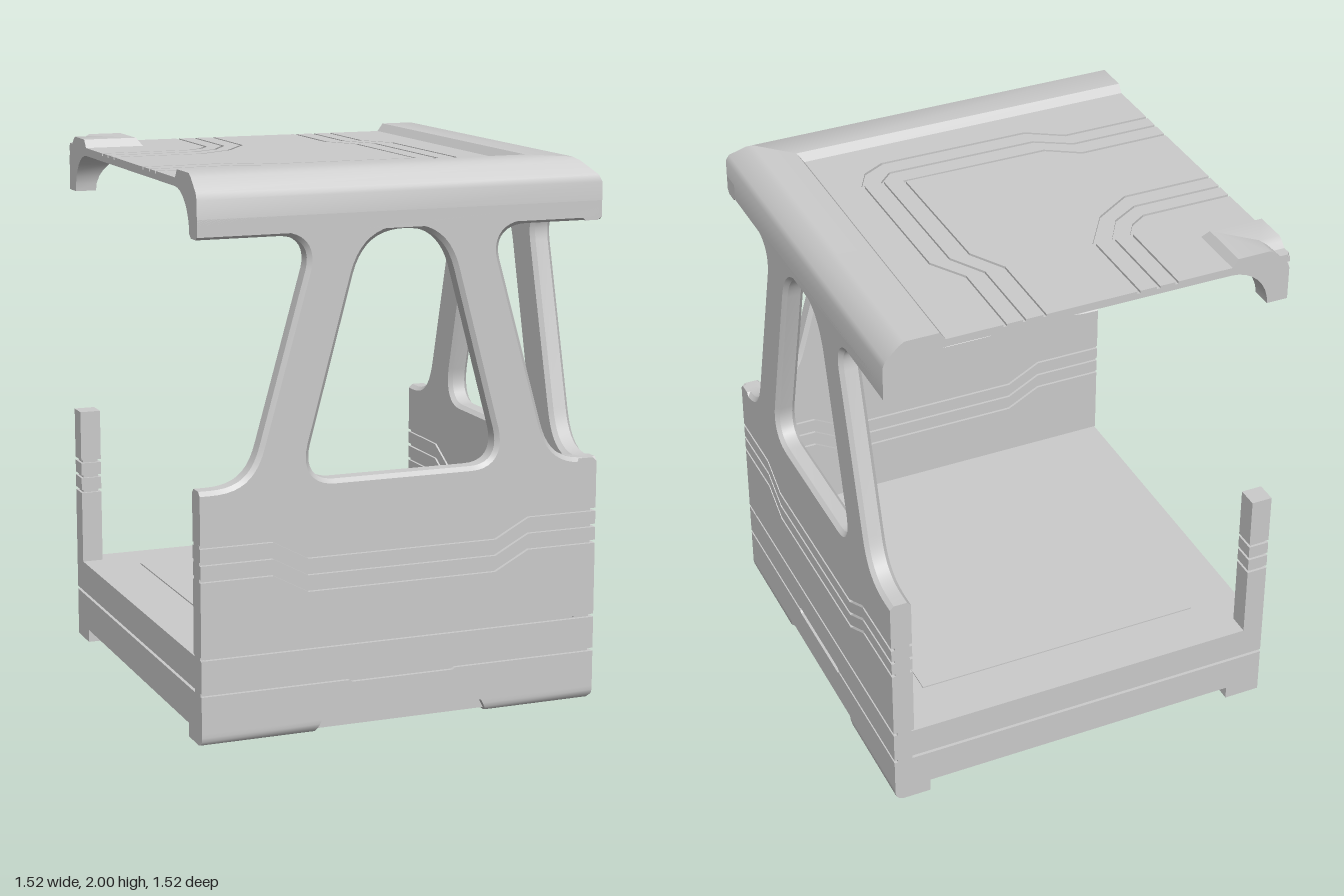
import * as THREE from 'three';
import { toCreasedNormals } from 'three/addons/utils/BufferGeometryUtils.js';

const H = 0.76;          // half width of the cell
const GAP = 0.006;       // half width of the panel grooves
const mat = new THREE.MeshStandardMaterial({ color: 0xcccccc, side: THREE.DoubleSide });

function mesh(name, geo, parent) {
  const m = new THREE.Mesh(geo, mat);
  m.name = name;
  parent.add(m);
  return m;
}

function box(name, parent, x0, x1, y0, y1, z0, z1) {
  const m = mesh(name, new THREE.BoxGeometry(x1 - x0, y1 - y0, z1 - z0), parent);
  m.position.set((x0 + x1) / 2, (y0 + y1) / 2, (z0 + z1) / 2);
  return m;
}

const polygon = (pts) => new THREE.Shape(pts.map((p) => new THREE.Vector2(p[0], p[1])));

// Shift a line sideways; a third value on a point scales the shift
function offset(line, d) {
  return line.map((p, i) => {
    const a = line[Math.max(i - 1, 0)], b = line[Math.min(i + 1, line.length - 1)];
    const dx = b[0] - a[0], dy = b[1] - a[1], l = Math.hypot(dx, dy), k = d * (p[2] ?? 1);
    return [p[0] - (dy / l) * k, p[1] + (dx / l) * k];
  });
}

// Panels between neighbouring lines, leaving a groove along each inner line
function panels(lines, depth) {
  const shapes = [];
  for (let i = 0; i < lines.length - 1; i++) {
    const lower = offset(lines[i], i === 0 ? 0 : GAP);
    const upper = offset(lines[i + 1], i === lines.length - 2 ? 0 : -GAP);
    shapes.push(polygon([...lower, ...upper.reverse()]));
  }
  return new THREE.ExtrudeGeometry(shapes, { depth, bevelEnabled: false });
}

// Section (u outward, y up) drawn out along x; its ends may depend on u and y for mitres
function bar(profile, from, to) {
  const geo = new THREE.ExtrudeGeometry(polygon(profile), { depth: 1, bevelEnabled: false });
  const p = geo.attributes.position;
  for (let i = 0; i < p.count; i++) {
    const u = p.getX(i), y = p.getY(i);
    p.setXYZ(i, p.getZ(i) < 0.5 ? from(u, y) : to(u, y), y, u);
  }
  return toCreasedNormals(geo, 0.6);
}

const flat = (y) => [[-H, y], [H, y]];
const dip = (y) => [[-H, y], [-0.49, y], [-0.36, y - 0.07], [0.36, y - 0.07], [0.49, y], [H, y]];
const slot = [[-H, 0.19], [-0.205, 0.19], [-0.195, 0.19, 2.2], [0.195, 0.19, 2.2], [0.205, 0.19], [H, 0.19]];

// Upper wall: two slanted pillars around a rounded window, with half openings at the sides
function pillarGeometry() {
  const s = new THREE.Shape();
  s.moveTo(-0.8, 0.76);
  s.lineTo(0.8, 0.76);
  s.lineTo(0.8, 0.915);
  s.lineTo(0.72, 0.915);
  s.bezierCurveTo(0.62, 0.915, 0.565, 0.95, 0.535, 1.06);
  s.lineTo(0.365, 1.66);
  s.bezierCurveTo(0.345, 1.74, 0.39, 1.78, 0.47, 1.78);
  s.lineTo(0.8, 1.78);
  s.lineTo(0.8, 1.9);
  s.lineTo(-0.8, 1.9);
  s.lineTo(-0.8, 1.78);
  s.lineTo(-0.47, 1.78);
  s.bezierCurveTo(-0.39, 1.78, -0.345, 1.74, -0.365, 1.66);
  s.lineTo(-0.535, 1.06);
  s.bezierCurveTo(-0.565, 0.95, -0.62, 0.915, -0.72, 0.915);
  s.lineTo(-0.8, 0.915);
  const w = new THREE.Path();
  w.moveTo(-0.26, 0.92);
  w.lineTo(0.26, 0.92);
  w.bezierCurveTo(0.34, 0.92, 0.37, 0.97, 0.35, 1.05);
  w.lineTo(0.19, 1.64);
  w.bezierCurveTo(0.16, 1.74, 0.1, 1.785, 0, 1.785);
  w.bezierCurveTo(-0.1, 1.785, -0.16, 1.74, -0.19, 1.64);
  w.lineTo(-0.35, 1.05);
  w.bezierCurveTo(-0.37, 0.97, -0.34, 0.92, -0.26, 0.92);
  s.holes.push(w);
  const geo = new THREE.ExtrudeGeometry(s, {
    depth: 0.05, curveSegments: 10, bevelThickness: 0.015, bevelSize: 0.015, bevelOffset: -0.015, bevelSegments: 1,
  });
  // Trim the outer border square so that only the openings keep a bevel
  const p = geo.attributes.position;
  for (let i = 0; i < p.count; i++) {
    p.setX(i, THREE.MathUtils.clamp(p.getX(i), -H, H));
    p.setY(i, THREE.MathUtils.clamp(p.getY(i), 0.8, 1.85));
  }
  return toCreasedNormals(geo, 0.5);
}

// Wall facing +z; corner is the end (+1 or -1) that meets the other wall
function wall(name, corner) {
  const g = new THREE.Group();
  g.name = name;
  const band = [dip(0.72 - 0.12), dip(0.66), dip(0.72), flat(0.8)];
  mesh('outerPanels', panels([flat(0.05), slot, flat(0.32), ...band], 0.015), g).position.z = 0.745;
  mesh('innerPanels', panels([flat(0.32), ...band], 0.015), g).position.z = 0.68;
  box('wallCore', g, corner > 0 ? -H : -0.745, corner > 0 ? 0.745 : H, 0.06, 0.8, 0.69, 0.746);
  mesh('pillars', pillarGeometry(), g).position.z = 0.695;

  // Skirt below the wall, with a shallow recess in the middle
  const foot = [[0.62, 0], [0.725, 0], [0.745, 0.006], [0.757, 0.02], [H, 0.035], [H, 0.05], [0.62, 0.05]];
  const inset = [[0.62, 0.012], [0.735, 0.012], [0.735, 0.05], [0.62, 0.05]];
  const notch = (u, y) => 0.335 - 0.5 * y;
  const right = corner > 0 ? (u) => u : () => H;
  const left = corner > 0 ? () => -H : (u) => -u;
  mesh('skirt', bar(foot, right, notch), g);
  mesh('skirt', bar(foot, (u, y) => -notch(u, y), left), g);
  mesh('skirtRecess', bar(inset, () => 0.34, () => -0.34), g);
  return g;
}

// Eave section: top rim, sloped shoulder, drop and cove underneath
const eave = [[0.53, 1.965], [0.555, 2], [0.68, 2], [0.7, 1.988], [0.75, 1.94], [H, 1.915], [H, 1.79]];
for (let i = 0; i <= 8; i++) {
  const a = (i / 8) * Math.PI / 2;
  eave.push([0.53 + 0.15 * Math.cos(a), 1.79 + 0.15 * Math.sin(a)]);
}

function roof() {
  const g = new THREE.Group();
  g.name = 'roof';
  const lines = [
    [[-H, -0.75], [-0.75, -H]],
    [[-H, -0.32], [-0.42, -0.32], [-0.36, -0.36], [-0.32, -0.42], [-0.32, -H]],
    [[-H, -0.25], [-0.42, -0.25], [-0.32, -0.31], [-0.25, -0.42], [-0.25, -H]],
    [[-H, -0.175], [-0.42, -0.175], [-0.28, -0.265], [-0.175, -0.42], [-0.175, -H]],
    [[-H, 0.175], [-0.42, 0.175], [-0.3, 0.25], [0.255, 0.255], [0.25, -0.3], [0.175, -0.43], [0.175, -H]],
    [[-H, 0.25], [-0.42, 0.25], [-0.29, 0.325], [0.28, 0.33], [0.33, 0.28], [0.325, -0.3], [0.25, -0.43], [0.25, -H]],
    [[-H, 0.32], [-0.42, 0.32], [-0.29, 0.4], [0.28, 0.405], [0.36, 0.36], [0.405, 0.28], [0.4, -0.3], [0.32, -0.43], [0.32, -H]],
    [[-H, 0.55], [0.55, 0.55], [0.55, -H]],
  ];
  for (const [name, y] of [['roofPanels', 1.97], ['ceilingPanels', 1.95]]) {
    const geo = panels(lines, 0.01);
    geo.rotateX(Math.PI / 2);
    mesh(name, geo, g).position.y = y;
  }
  box('roofCore', g, -H, 0.55, 1.94, 1.961, -H, 0.55);

  mesh('frontEave', bar(eave, (u) => u, () => -H), g);
  mesh('sideEave', bar(eave, () => H, (u) => -u), g).rotation.y = Math.PI / 2;

  // Inner corner where the eaves of the open sides would turn
  const c = new THREE.Group();
  c.name = 'roofInnerCorner';
  mesh('cornerHalf', bar(eave, () => H, (u) => u), c);
  mesh('cornerHalf', bar(eave, (u) => -u, () => -H), c).rotation.y = Math.PI / 2;
  c.rotation.y = Math.PI;
  g.add(c);
  return g;
}

export function createModel() {
  const model = new THREE.Group();
  model.name = 'cabinCorner';

  // Floor slab, edged with plain panels on the open sides
  box('floorSlab', model, -0.745, 0.745, 0.05, 0.315, -0.745, 0.745);
  box('floorPanel', model, -0.56, 0.56, 0.31, 0.32, -0.56, 0.56);
  for (const turn of [Math.PI, -Math.PI / 2]) {
    const g = new THREE.Group();
    g.name = 'floorEdge';
    mesh('edgePanels', panels([flat(0.05), flat(0.19), flat(0.315)], 0.015), g).position.z = 0.745;
    g.rotation.y = turn;
    model.add(g);
  }

  // Two walls meeting at the front left corner
  model.add(wall('frontWall', 1));
  const side = wall('leftWall', -1);
  side.rotation.y = Math.PI / 2;
  model.add(side);

  // Short post and foot in the open corner
  const cuts = [0.31, 0.6, 0.66, 0.72, 0.92];
  for (let i = 0; i < 4; i++) {
    box('cornerPost', model, -H, -0.68, cuts[i] + (i ? GAP : 0), cuts[i + 1] - (i < 3 ? GAP : 0), -H, -0.68);
  }
  box('cornerPostCore', model, -0.75, -0.69, 0.31, 0.9, -0.75, -0.69);
  box('cornerFoot', model, -H, -0.62, 0, 0.05, -H, -0.62);

  model.add(roof());
  return model;
}
